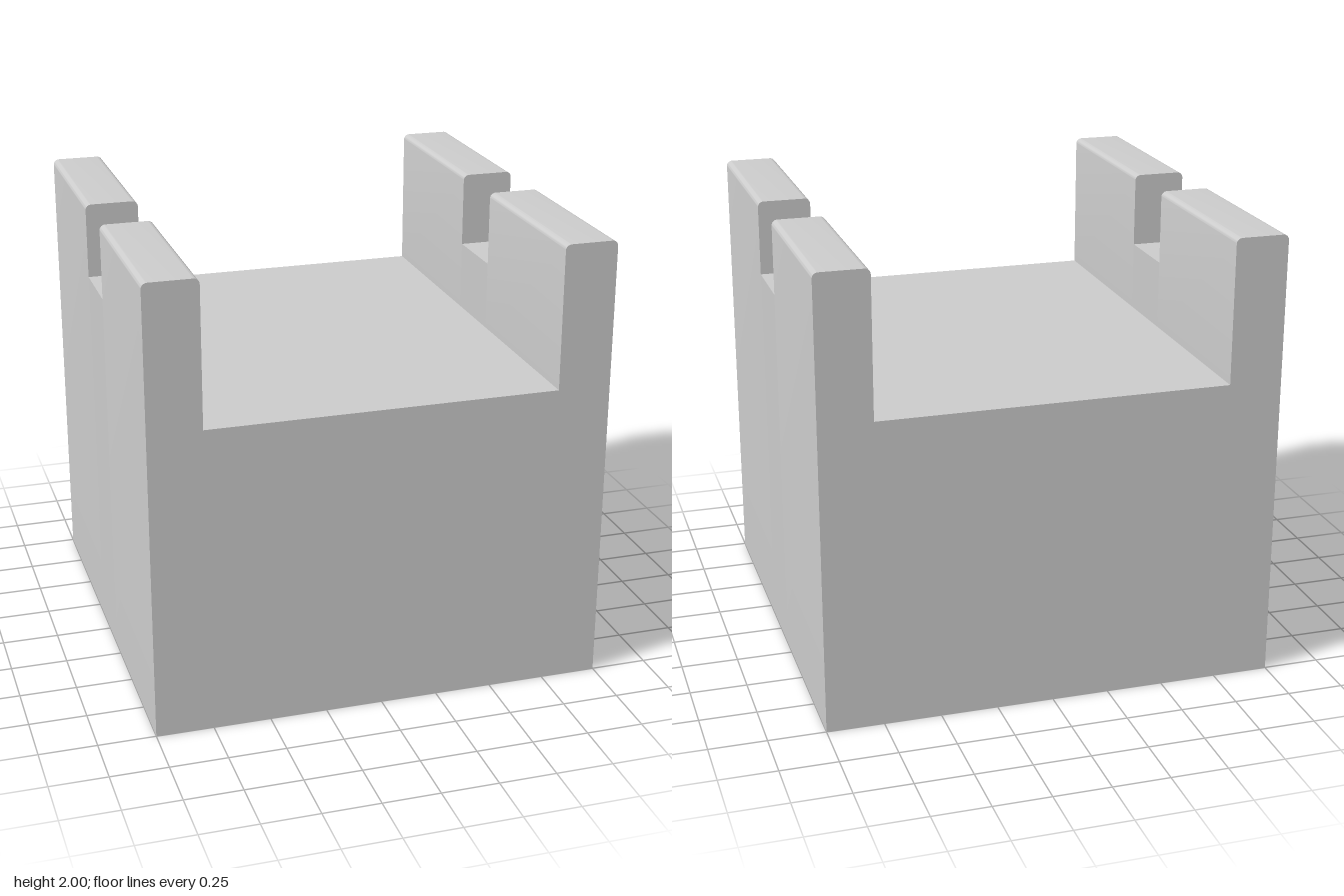
import * as THREE from 'three';
import { toCreasedNormals } from 'three/addons/utils/BufferGeometryUtils.js';

const INNER = 0.767;     // inner face of the side walls
const FLOOR = 1.365;     // height of the floor between the walls
const NOTCH_Y = 1.67;    // bottom of the wall notches
const NOTCH_Z = 0.163;   // half width of the wall notches
const R = 0.025;         // rounding along the wall tops

// U-shaped cross-section with rounded wall tops
function crossSection() {
  const s = new THREE.Shape();
  s.moveTo(-1, 0);
  s.lineTo(1, 0);
  s.absarc(1 - R, 2 - R, R, 0, Math.PI / 2);
  s.absarc(INNER + R, 2 - R, R, Math.PI / 2, Math.PI);
  s.lineTo(INNER, FLOOR);
  s.lineTo(-INNER, FLOOR);
  s.absarc(-INNER - R, 2 - R, R, 0, Math.PI / 2);
  s.absarc(-1 + R, 2 - R, R, Math.PI / 2, Math.PI);
  s.closePath();
  return s;
}

export function createModel() {
  const geometry = new THREE.ExtrudeGeometry(crossSection(), {
    depth: 5, steps: 5, bevelEnabled: false, curveSegments: 6,
  });

  // Place the six layers along z; the two middle layers are cut down to form
  // the notches, and the doubled layers become the notches' upright ends
  const layers = [-1, -NOTCH_Z, -NOTCH_Z, NOTCH_Z, NOTCH_Z, 1];
  const pos = geometry.attributes.position;
  for (let i = 0; i < pos.count; i++) {
    const layer = Math.round(pos.getZ(i));
    pos.setZ(i, layers[layer]);
    if (layer === 2 || layer === 3) pos.setY(i, Math.min(pos.getY(i), NOTCH_Y));
  }
  geometry.computeVertexNormals();

  const block = new THREE.Mesh(
    toCreasedNormals(geometry, Math.PI / 6),
    new THREE.MeshStandardMaterial({ color: 0xcccccc }),
  );
  block.name = 'notchedBlock';

  const group = new THREE.Group();
  group.name = 'notchedChannelBlock';
  group.add(block);
  return group;
}
